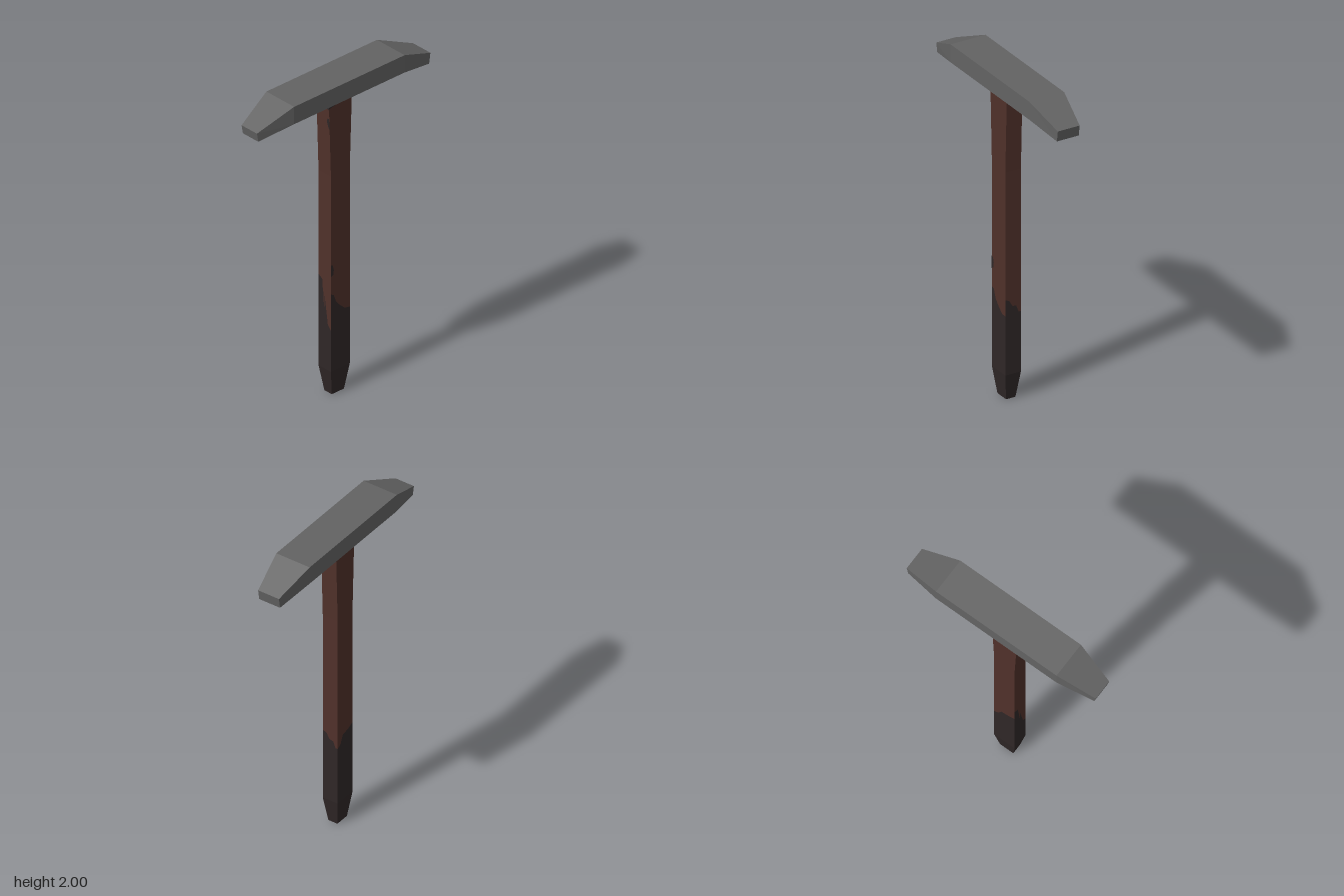
import * as THREE from 'three';

const steel = new THREE.MeshStandardMaterial({ color: 0x636363, name: 'grey steel' });
const wood = new THREE.MeshStandardMaterial({ color: 0x50312a, name: 'brown wood' });
const grip = new THREE.MeshStandardMaterial({ color: 0x2f2727, name: 'dark grip' });

// Quad a-b-c-d, counter-clockwise seen from outside
const quad = (out, a, b, c, d) => out.push(...a, ...b, ...c, ...a, ...c, ...d);

function flatMesh(name, positions, material) {
  const g = new THREE.BufferGeometry();
  g.setAttribute('position', new THREE.Float32BufferAttribute(positions, 3));
  g.computeVertexNormals();
  const mesh = new THREE.Mesh(g, material);
  mesh.name = name;
  return mesh;
}

// Head: four rectangular sections joined along z
function createHead() {
  // [half width, top y, top z, bottom y, bottom z]
  const rings = [
    [0.07, 1.905, -0.64, 1.84, -0.63],
    [0.112, 2, -0.41, 1.89, -0.41],
    [0.112, 2, 0.41, 1.89, 0.41],
    [0.062, 1.9, 0.64, 1.845, 0.63],
  ].map(([w, ty, tz, by, bz]) => [[-w, by, bz], [w, by, bz], [w, ty, tz], [-w, ty, tz]]);
  const p = [];
  for (let i = 0; i < 3; i++) {
    const a = rings[i], b = rings[i + 1];
    for (let j = 0; j < 4; j++) {
      const k = (j + 1) % 4;
      quad(p, a[j], a[k], b[k], b[j]);
    }
  }
  quad(p, ...rings[3]);
  quad(p, ...[...rings[0]].reverse());
  return flatMesh('head', p, steel);
}

// Handle outline by height: [y, half width, back z, front z]
const profile = [
  [0, 0.03, -0.035, 0.055],
  [0.16, 0.05, -0.06, 0.08],
  [1.4, 0.05, -0.06, 0.08],
  [1.86, 0.05, -0.075, 0.095],
  [1.9, 0.05, -0.075, 0.095],
];

// Point on a handle face (0 front, 1 left, 2 back, 3 right), u running rightwards seen from outside
function handlePoint(face, u, y, lift = 0) {
  let i = 0;
  while (i < profile.length - 2 && y > profile[i + 1][0]) i++;
  const a = profile[i], b = profile[i + 1];
  const t = (y - a[0]) / (b[0] - a[0]);
  const [w, back, front] = [1, 2, 3].map((k) => a[k] + (b[k] - a[k]) * t);
  if (face === 0) return [-w + 2 * w * u, y, front + lift];
  if (face === 1) return [w + lift, y, front + (back - front) * u];
  if (face === 2) return [w - 2 * w * u, y, back - lift];
  return [-w - lift, y, back + (front - back) * u];
}

// Wavy colour borders on each face: [u, grip top, wood top]
const borders = [
  [[0, 0.74, 1.84], [0.3, 0.72, 1.84], [0.36, 0.68, 1.84], [0.32, 0.65, 1.84], [0.5, 0.62, 1.84],
    [0.45, 0.53, 1.84], [0.75, 0.45, 1.83], [1, 0.42, 1.82]],
  [[0, 0.65, 1.83], [0.15, 0.64, 1.835], [0.28, 0.59, 1.84], [0.5, 0.555, 1.855], [0.75, 0.525, 1.86], [1, 0.52, 1.85]],
  [[0, 0.62, 1.85], [0.25, 0.61, 1.85], [0.45, 0.575, 1.86], [0.7, 0.57, 1.86], [0.85, 0.53, 1.85], [1, 0.53, 1.84]],
  [[0, 0.53, 1.84], [0.2, 0.55, 1.84], [0.35, 0.6, 1.85], [0.7, 0.61, 1.85], [1, 0.63, 1.84]],
].map((face) => face.sort((a, b) => a[0] - b[0]));

function createHandle() {
  const group = new THREE.Group();
  group.name = 'handle';
  const dark = [], brown = [], grey = [];
  borders.forEach((cols, face) => {
    for (let i = 0; i < cols.length - 1; i++) {
      const [u0, g0, w0] = cols[i], [u1, g1, w1] = cols[i + 1];
      const band = (out, l0, r0, l1, r1) => quad(out, handlePoint(face, u0, l0),
        handlePoint(face, u1, r0), handlePoint(face, u1, r1), handlePoint(face, u0, l1));
      band(dark, 0, 0, 0.16, 0.16);
      band(dark, 0.16, 0.16, g0, g1);
      band(brown, g0, g1, 1.4, 1.4);
      band(brown, 1.4, 1.4, w0, w1);
      band(dark, w0, w1, 1.86, 1.86);
      band(grey, 1.86, 1.86, 1.9, 1.9);
    }
  });
  // Butt underside
  quad(dark, ...[3, 2, 1, 0].map((f) => handlePoint(f, 0, 0)));
  group.add(flatMesh('darkGrip', dark, grip), flatMesh('woodShaft', brown, wood), flatMesh('steelCollar', grey, steel));

  // Worn dark spots: face and a fan of [u, y] corners
  const spots = [
    [1, [[0, 0.76], [0.12, 0.77], [0.15, 0.8], [0.09, 0.83], [0, 0.835]]],
    [0, [[1, 1.7], [1, 1.77], [0.85, 1.765], [0.82, 1.74], [0.92, 1.71]]],
  ];
  for (const [face, pts] of spots) {
    const p = [];
    const at = ([u, y]) => handlePoint(face, u, y, 0.001);
    for (let i = 1; i < pts.length - 1; i++) p.push(...at(pts[0]), ...at(pts[i]), ...at(pts[i + 1]));
    group.add(flatMesh('wornSpot', p, grip));
  }
  return group;
}

export function createModel() {
  const model = new THREE.Group();
  model.name = 'pickaxe';
  model.add(createHead(), createHandle());
  return model;
}
